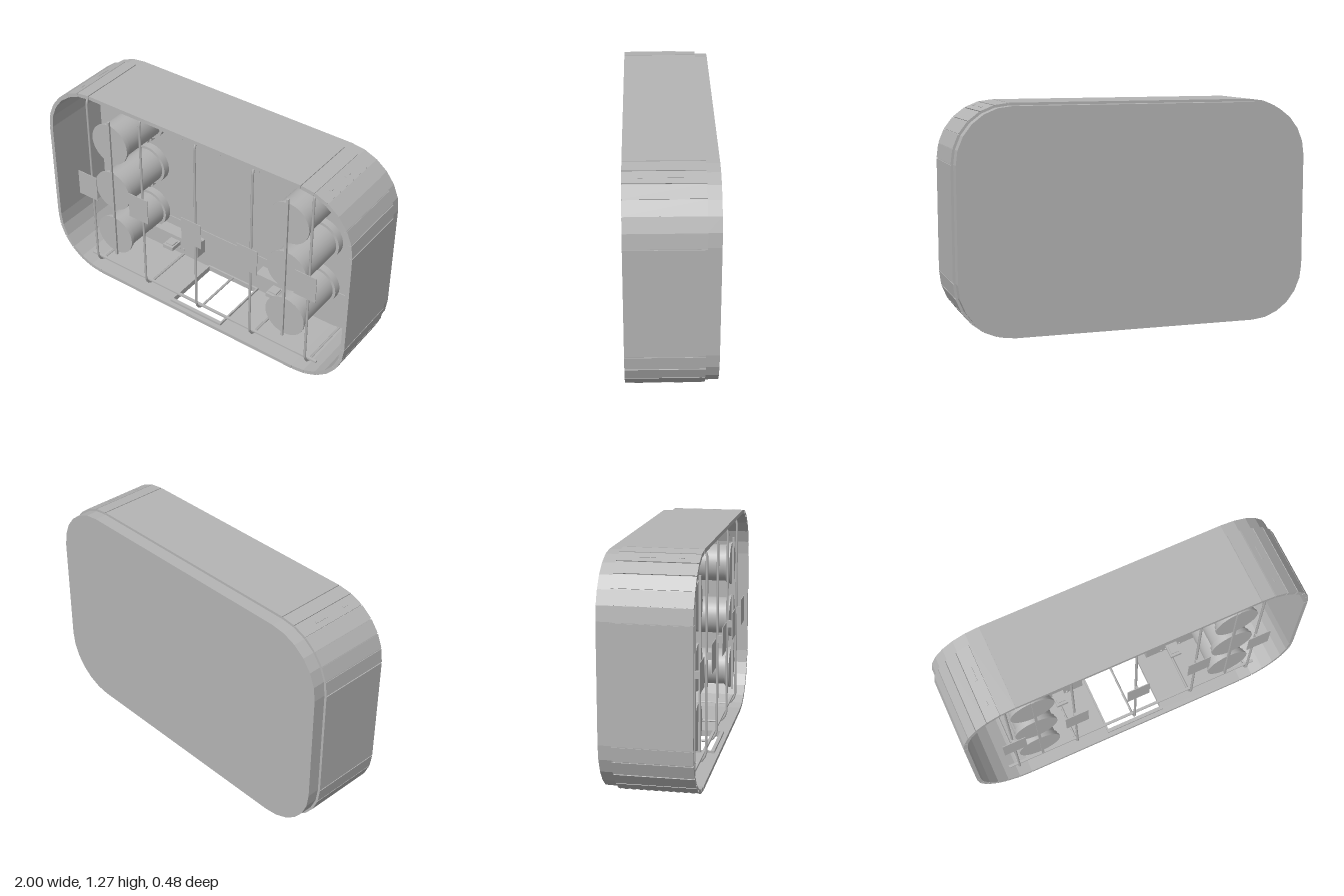
import * as THREE from 'three';

export function createModel() {
  const root = new THREE.Group();
  const grey = new THREE.MeshStandardMaterial({ color: 0xb4b4b4 });

  const add = (name, geometry, x = 0, y = 0, z = 0, parent = root) => {
    const mesh = new THREE.Mesh(geometry, grey);
    mesh.name = name;
    mesh.position.set(x, y, z);
    parent.add(mesh);
    return mesh;
  };
  // box given by its limits
  const box = (name, x0, x1, y0, y1, z0, z1) =>
    add(name, new THREE.BoxGeometry(x1 - x0, y1 - y0, z1 - z0), (x0 + x1) / 2, (y0 + y1) / 2, (z0 + z1) / 2);
  const extrude = (shape, depth) =>
    new THREE.ExtrudeGeometry(shape, { depth, bevelEnabled: false, curveSegments: 6 });

  // rounded outline of the case, moved inward by an inset; six facets per corner
  const outline = (inset) => {
    const points = [];
    const centres = [[0.685, 0.96], [-0.685, 0.96], [-0.685, 0.335], [0.685, 0.335]];
    centres.forEach(([cx, cy], corner) => {
      for (let i = 0; i <= 6; i++) {
        const a = (corner + i / 6) * Math.PI / 2;
        points.push(new THREE.Vector2(cx + (0.315 - inset) * Math.cos(a), cy + (0.315 - inset) * Math.sin(a)));
      }
    });
    return points;
  };
  const toward = (p, q, d) => p.clone().add(q.clone().sub(p).setLength(d));

  // outer wall: separate panels with recessed seams between them
  const outer = outline(0), seamOuter = outline(0.005), inner = outline(0.022);
  const n = outer.length, gap = 0.003, bottom = 20;
  for (let i = 0; i < n; i++) {
    const j = (i + 1) % n, h = (i + n - 1) % n;
    if (i !== bottom) {
      const panel = new THREE.Shape([
        toward(outer[i], outer[j], gap), toward(outer[j], outer[i], gap),
        toward(inner[j], inner[i], gap), toward(inner[i], inner[j], gap)]);
      add('wallPanel', extrude(panel, 0.41), 0, 0, -0.17);
    }
    const seam = new THREE.Shape([
      toward(seamOuter[i], seamOuter[h], gap), seamOuter[i], toward(seamOuter[i], seamOuter[j], gap),
      toward(inner[i], inner[j], gap), inner[i], toward(inner[i], inner[h], gap)]);
    add('wallSeam', extrude(seam, 0.408), 0, 0, -0.17);
  }

  // floor panel with a hatch opening
  const rectangle = (Type, x0, x1, y0, y1) => {
    const s = new Type();
    s.moveTo(x0, y0); s.lineTo(x1, y0); s.lineTo(x1, y1); s.lineTo(x0, y1); s.closePath();
    return s;
  };
  const floor = rectangle(THREE.Shape, -0.682, 0.682, -0.24, 0.17);
  floor.holes.push(rectangle(THREE.Path, -0.17, 0.17, -0.205, 0.16));
  add('floorPanel', extrude(floor, 0.022), 0, 0.02, 0).rotation.x = -Math.PI / 2;

  // raised hatch frame and its latch
  box('hatchFrameFront', -0.18, 0.18, 0.018, 0.055, 0.195, 0.215);
  box('hatchFrameBack', -0.18, 0.18, 0.03, 0.055, -0.17, -0.158);
  for (const s of [-1, 1]) box('hatchFrameSide', s * 0.175 - 0.005, s * 0.175 + 0.005, 0.03, 0.055, -0.16, 0.2);
  add('hatchLatch', new THREE.CylinderGeometry(0.012, 0.012, 0.022, 12), 0.205, 0.013, 0);
  box('latchHandle', 0.197, 0.213, 0, 0.012, -0.022, 0.016);

  // closed back shell, a step smaller than the wall
  add('backShell', extrude(new THREE.Shape(outline(0.014)), 0.072), 0, 0, -0.24);

  // thin ridges across the inner back panel
  box('backRidge', -0.85, 0.85, 0.99, 0.998, -0.17, -0.163);
  box('backRidge', -0.85, 0.85, 0.296, 0.304, -0.17, -0.163);

  // long rails at floor and ceiling
  for (const y of [0.085, 1.21]) box('crossRail', -0.8, 0.8, y - 0.005, y + 0.005, 0.165, 0.18);

  // hoop straps along floor, front and ceiling, each with a square tag
  for (const x of [-0.74, -0.37, 0, 0.37, 0.74]) {
    const path = new THREE.CurvePath();
    const stops = [[0.05, -0.165], [0.05, 0.165], [0.1, 0.2], [1.2, 0.2], [1.248, 0.165], [1.248, -0.165]]
      .map(([y, z]) => new THREE.Vector3(x, y, z));
    for (let i = 0; i < 5; i++) path.add(new THREE.LineCurve3(stops[i], stops[i + 1]));
    add('hoopStrap', new THREE.TubeGeometry(path, 60, 0.007, 6));
    box('strapTag', x - 0.067, x + 0.067, 0.57, 0.73, 0.236, 0.24);
    box('tagMount', x - 0.008, x + 0.008, 0.63, 0.67, 0.2, 0.237);
  }

  // storage canisters in two columns, with collars, lids and clips
  const round = (name, r, z0, z1, x, y) => {
    const g = new THREE.CylinderGeometry(r, r, z1 - z0, 32);
    g.rotateX(Math.PI / 2);
    add(name, g, x, y, (z0 + z1) / 2);
  };
  for (const s of [-1, 1]) {
    const x = s * 0.595;
    for (const y of [0.97, 0.65, 0.33]) {
      round('canisterCollar', 0.125, -0.17, -0.125, x, y);
      round('canisterBody', 0.108, -0.13, 0.17, x, y);
      round('canisterLid', 0.118, 0.165, 0.19, x, y);
      round('lidFace', 0.125, 0.185, 0.195, x, y);
      box('canisterClip', x - 0.035, x + 0.035, y - 0.14, y - 0.12, -0.165, -0.125);
      box('clipTab', x - 0.02, x + 0.02, y - 0.15, y - 0.115, -0.125, -0.11);
    }
    box('canisterStrap', s * 0.588 - 0.007, s * 0.588 + 0.007, 0.19, 1.125, 0.195, 0.207);

    // control boxes low on the back panel
    const c = s * 0.37;
    box('controlBox', c - 0.16, c + 0.16, 0.145, 0.24, -0.17, -0.09);
    box('controlKnob', c - 0.035, c + 0.035, 0.19, 0.215, -0.09, -0.01);
    box('knobCap', c - 0.025, c + 0.025, 0.183, 0.222, -0.075, -0.025);
    for (const d of [-0.06, -0.03, 0.03, 0.06]) round('controlButton', 0.008, -0.09, -0.083, c + d, 0.165);

    // ceiling plates
    box('ceilingPlate', s * 0.25 - 0.09, s * 0.25 + 0.09, 1.238, 1.254, -0.06, 0.06);
    box('ceilingPlate', s * 0.7 - 0.05, s * 0.7 + 0.05, 1.236, 1.246, -0.06, 0.06);

    // small slits on the upper corner panel
    for (const [z, w] of [[-0.02, 0.08], [0.15, 0.026]]) {
      const a = Math.PI * 0.375;
      const slit = add('cornerSlit', new THREE.BoxGeometry(0.012, 0.006, w),
        s * (0.685 + 0.312 * Math.cos(a)), 0.96 + 0.312 * Math.sin(a), z);
      slit.rotation.z = -s * (Math.PI / 2 - a);
    }
  }

  // three rounded lamps below the ceiling, on short arms
  const rounded = (Type, w, h, r) => {
    const s = new Type(), x = w / 2 - r, y = h / 2 - r;
    s.absarc(x, y, r, 0, Math.PI / 2);
    s.absarc(-x, y, r, Math.PI / 2, Math.PI);
    s.absarc(-x, -y, r, Math.PI, Math.PI * 1.5);
    s.absarc(x, -y, r, Math.PI * 1.5, Math.PI * 2);
    s.closePath();
    return s;
  };
  for (const x of [-0.25, 0, 0.25]) {
    const rim = rounded(THREE.Shape, 0.17, 0.07, 0.02);
    rim.holes.push(rounded(THREE.Path, 0.135, 0.042, 0.012));
    add('lampRim', extrude(rim, 0.05), x, 1.155, 0.03);
    add('lampBody', extrude(rounded(THREE.Shape, 0.15, 0.055, 0.015), 0.045), x, 1.155, 0.02);
    box('lampShelf', x - 0.08, x + 0.08, 1.108, 1.118, 0.03, 0.08);
    box('lampArm', x - 0.02, x + 0.02, 1.145, 1.165, -0.17, 0.025);
  }
  return root;
}
